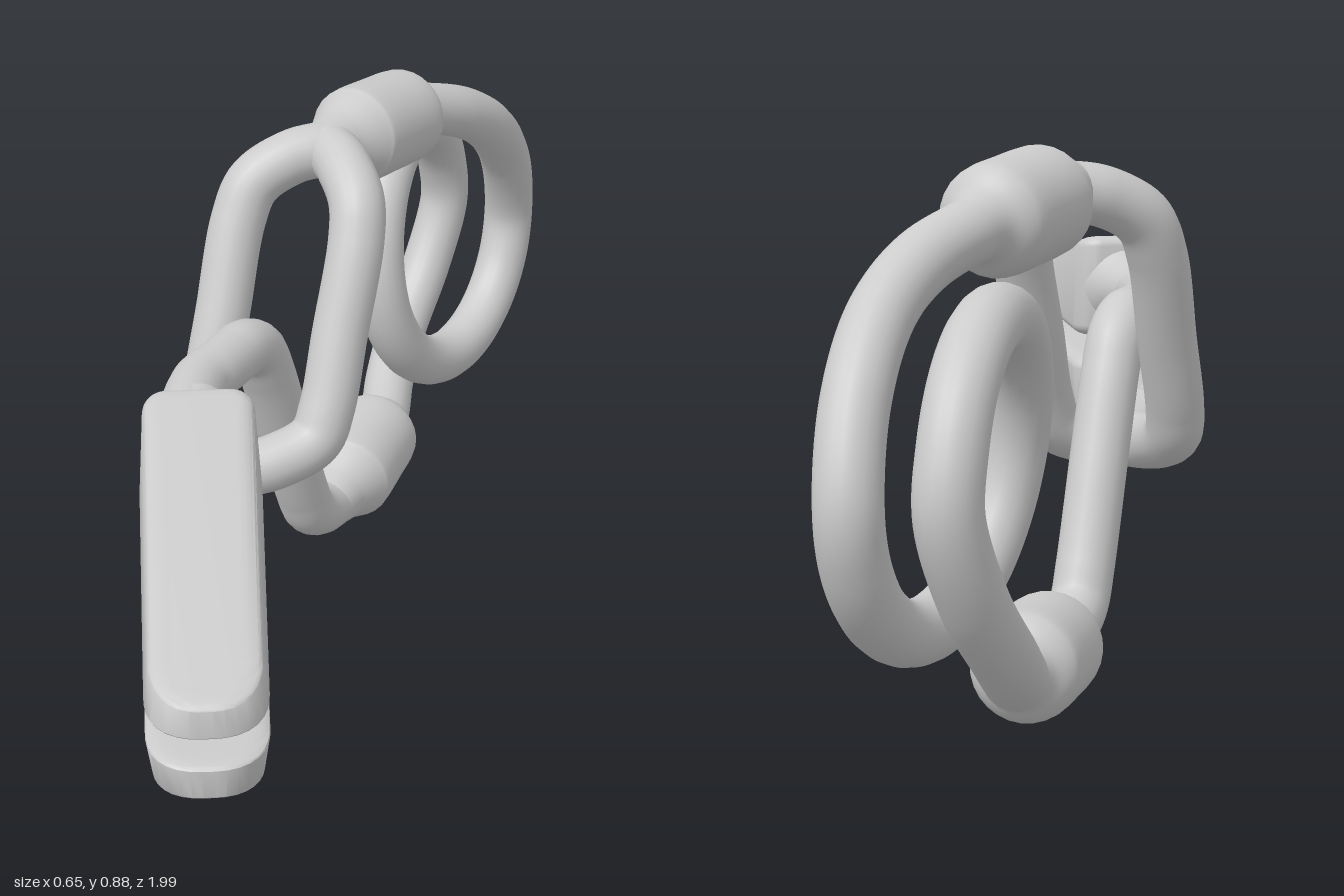
import * as THREE from 'three';
import { toCreasedNormals } from 'three/addons/utils/BufferGeometryUtils.js';

const material = new THREE.MeshStandardMaterial({ color: 0xcccccc });
const WIRE = 0.049;
const AXIS_X = -0.16, AXIS_Y = 0.445; // the two halves mirror about this axis

const vec = (p) => new THREE.Vector3(...p);

function add(parent, name, geometry) {
  const mesh = new THREE.Mesh(geometry, material);
  mesh.name = name;
  parent.add(mesh);
  return mesh;
}

// Round wire through points
function wire(parent, name, points, segments = 80) {
  const curve = new THREE.CatmullRomCurve3(points.map(vec));
  return add(parent, name, new THREE.TubeGeometry(curve, segments, WIRE, 20));
}

// Turned part running along +z
function turned(profile) {
  const points = new THREE.SplineCurve(profile.map(([r, z]) => new THREE.Vector2(r, z))).getPoints(40);
  return new THREE.LatheGeometry(points, 28).rotateX(Math.PI / 2);
}

// Jaw pad: rounded plan, extruded upward and tapered towards the tip
function jawGeometry() {
  const bevel = 0.03, w = 0.098 - bevel, wt = 0.088 - bevel;
  const s0 = bevel, s1 = 0.69 - bevel, rb = 0.015, rt = 0.05;
  const plan = new THREE.Shape();
  plan.moveTo(-w + rb, s0);
  plan.lineTo(w - rb, s0);
  plan.quadraticCurveTo(w, s0, w, s0 + rb);
  plan.lineTo(wt, s1 - rt * 1.4);
  plan.quadraticCurveTo(wt, s1, wt - rt, s1);
  plan.lineTo(-wt + rt, s1);
  plan.quadraticCurveTo(-wt, s1, -wt, s1 - rt * 1.4);
  plan.lineTo(-w, s0 + rb);
  plan.quadraticCurveTo(-w, s0, -w + rb, s0);
  const g = new THREE.ExtrudeGeometry(plan, {
    depth: 0.14, bevelThickness: 0.02, bevelSize: bevel, bevelSegments: 5, curveSegments: 8,
  });
  const pos = g.attributes.position;
  for (let i = 0; i < pos.count; i++) {
    const x = pos.getX(i), s = pos.getY(i), t = (pos.getZ(i) + 0.02) / 0.18;
    const height = THREE.MathUtils.lerp(0.19, 0.055, s / 0.69);
    pos.setXYZ(i, -x * (1 - 0.12 * t), t * height, s);
  }
  return toCreasedNormals(g, 0.6);
}

export function createModel() {
  const model = new THREE.Group();
  model.name = 'springClamp';
  const body = new THREE.Group();
  body.name = 'clampBody';
  body.position.set(AXIS_X, AXIS_Y, 0);
  model.add(body);

  const rod = (y) => [[0, y, 0.1], [0, y, 0.15], [0, y, 0.2], [0.03, y, 0.29], [0.1, y, 0.41]];
  const padShape = jawGeometry();
  const collarShape = turned([[WIRE, -0.1], [0.05, -0.06], [0.06, -0.02], [0.082, 0.015]]);
  const ferruleShape = turned([[0.048, -0.03], [0.055, 0], [0.062, 0.02], [0.082, 0.06], [0.088, 0.08],
    [0.088, 0.16], [0.087, 0.23], [0.078, 0.255], [0.056, 0.28], [0.046, 0.31]]);

  // Upper and lower halves: pad with collar, and ferrule
  for (const [side, label] of [[1, 'upper'], [-1, 'lower']]) {
    const jaw = new THREE.Group();
    jaw.name = label + 'Jaw';
    jaw.position.set(0.095, side * 0.021, 0.375);
    jaw.rotation.y = Math.PI / 6;
    body.add(jaw);
    const pad = add(jaw, label + 'JawPad', padShape);
    if (side < 0) pad.rotation.z = Math.PI;
    add(jaw, label + 'JawCollar', collarShape).position.y = side * 0.089;

    const ferrule = add(body, label + 'Ferrule', ferruleShape);
    const start = new THREE.Vector3(0, side * 0.358, -0.29);
    const end = new THREE.Vector3(side * 0.03, side * 0.335, -0.57);
    ferrule.position.copy(start);
    ferrule.quaternion.setFromUnitVectors(new THREE.Vector3(0, 0, 1), end.sub(start).normalize());
  }

  // Open link: two strands from the upper ferrule down to the lower jaw
  for (const m of [1, -1]) {
    const x = m * 0.115;
    wire(body, m > 0 ? 'leftLinkStrand' : 'rightLinkStrand', [
      [0, 0.358, -0.34], [0, 0.358, -0.28], [m * 0.05, 0.348, -0.23], [m * 0.1, 0.31, -0.18],
      [x, 0.25, -0.148], [x, 0.1, -0.084], [x, -0.02, -0.033], [m * 0.105, -0.07, -0.006],
      [m * 0.055, -0.1, 0.05], [0, -0.11, 0.1], [0, -0.11, 0.15],
    ]);
  }
  wire(body, 'lowerJawRod', rod(-0.11), 40);

  // Single arm through the link, from the lower ferrule up to the upper jaw
  wire(body, 'throughArm', [
    [0, -0.358, -0.34], [0, -0.358, -0.25], [0, -0.33, -0.19], [0, -0.275, -0.158],
    [0, -0.1, -0.084], [0, 0.03, -0.028], [0, 0.085, 0.005], [0, 0.108, 0.05], ...rod(0.11),
  ], 120);

  // Coil spring: half the path, then the same half turned about the axis
  const half = [[0.018, 0.346, -0.46], [0.03, 0.335, -0.57], [0.07, 0.298, -0.69],
    [0.09, 0.237, -0.79], [0.085, 0.13, -0.895]];
  for (let i = 0; i < 8; i++) {
    const a = (i / 8) * Math.PI;
    half.push([0.072 * Math.cos(a / 2), -0.228 * Math.sin(a), -0.722 - 0.229 * Math.cos(a)]);
  }
  const otherHalf = half.map(([x, y, z]) => [-x, -y, z]).reverse();
  wire(body, 'coilSpring', [...half, [0, 0, -0.493], ...otherHalf], 220);

  return model;
}
